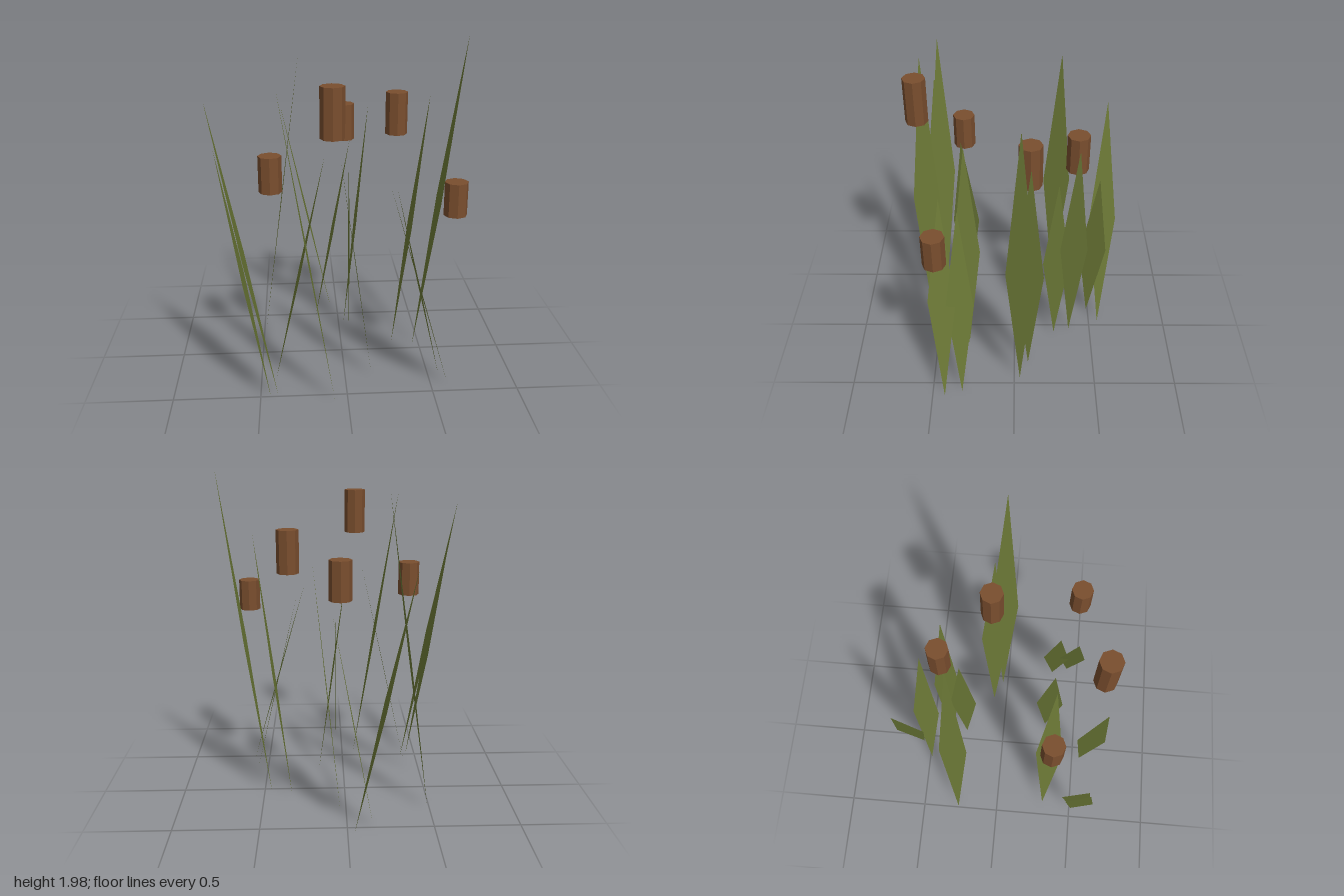
import * as THREE from 'three';

// Flat diamond leaf, widened along z and leaning along x
function bladeGeometry(baseX, tipX, height, z) {
  const y0 = 0.01, w = 0.082;
  const midX = (baseX + tipX) / 2, midY = (height + y0) / 2;
  const g = new THREE.BufferGeometry();
  g.setAttribute('position', new THREE.Float32BufferAttribute([
    baseX, y0, z,
    midX, midY, z - w,
    tipX, height, z,
    midX, midY, z + w,
  ], 3));
  g.setIndex([0, 1, 2, 0, 2, 3]);
  g.computeVertexNormals();
  return g;
}

export function createModel() {
  const model = new THREE.Group();
  model.name = 'reeds';

  const leafMaterial = new THREE.MeshStandardMaterial({
    color: 0x6b7836, flatShading: true, side: THREE.DoubleSide,
  });
  const headMaterial = new THREE.MeshStandardMaterial({ color: 0x7a4e2e, flatShading: true });

  // Leaves: base x, tip x, height, z
  const blades = [
    [-0.04, -0.37, 1.515, -0.557],
    [-0.15, 0.08, 1.265, -0.49],
    [0.033, 0.185, 1.525, -0.36],
    [-0.49, -0.24, 1.89, -0.265],
    [0.062, 0.06, 1.21, -0.26],
    [0.327, 0.525, 1.64, -0.087],
    [0.455, 0.727, 1.99, -0.035],
    [-0.413, -0.115, 1.39, 0.312],
    [0.16, -0.03, 1.41, 0.294],
    [0.565, 0.29, 1.2, 0.32],
    [0.6, 0.24, 1.25, 0.425],
    [-0.4, -0.735, 1.75, 0.48],
    [-0.44, -0.695, 1.5, 0.51],
    [-0.075, -0.365, 1.81, 0.55],
  ];
  const leaves = new THREE.Group();
  leaves.name = 'leaves';
  for (const [baseX, tipX, height, z] of blades) {
    const leaf = new THREE.Mesh(bladeGeometry(baseX, tipX, height, z), leafMaterial);
    leaf.name = 'leaf';
    leaves.add(leaf);
  }
  model.add(leaves);

  // Upright seed heads: x, z, bottom, top
  const heads = [
    [0.033, -0.36, 1.31, 1.535],
    [0.327, -0.087, 1.41, 1.66],
    [-0.413, 0.31, 1.195, 1.4],
    [-0.083, 0.55, 1.555, 1.825],
    [0.595, 0.425, 1.08, 1.27],
  ];
  const seedHeads = new THREE.Group();
  seedHeads.name = 'seedHeads';
  for (const [x, z, bottom, top] of heads) {
    const head = new THREE.Mesh(
      new THREE.CylinderGeometry(0.065, 0.065, top - bottom, 8), headMaterial);
    head.position.set(x, (bottom + top) / 2, z);
    head.name = 'seedHead';
    seedHeads.add(head);
  }
  model.add(seedHeads);

  return model;
}
